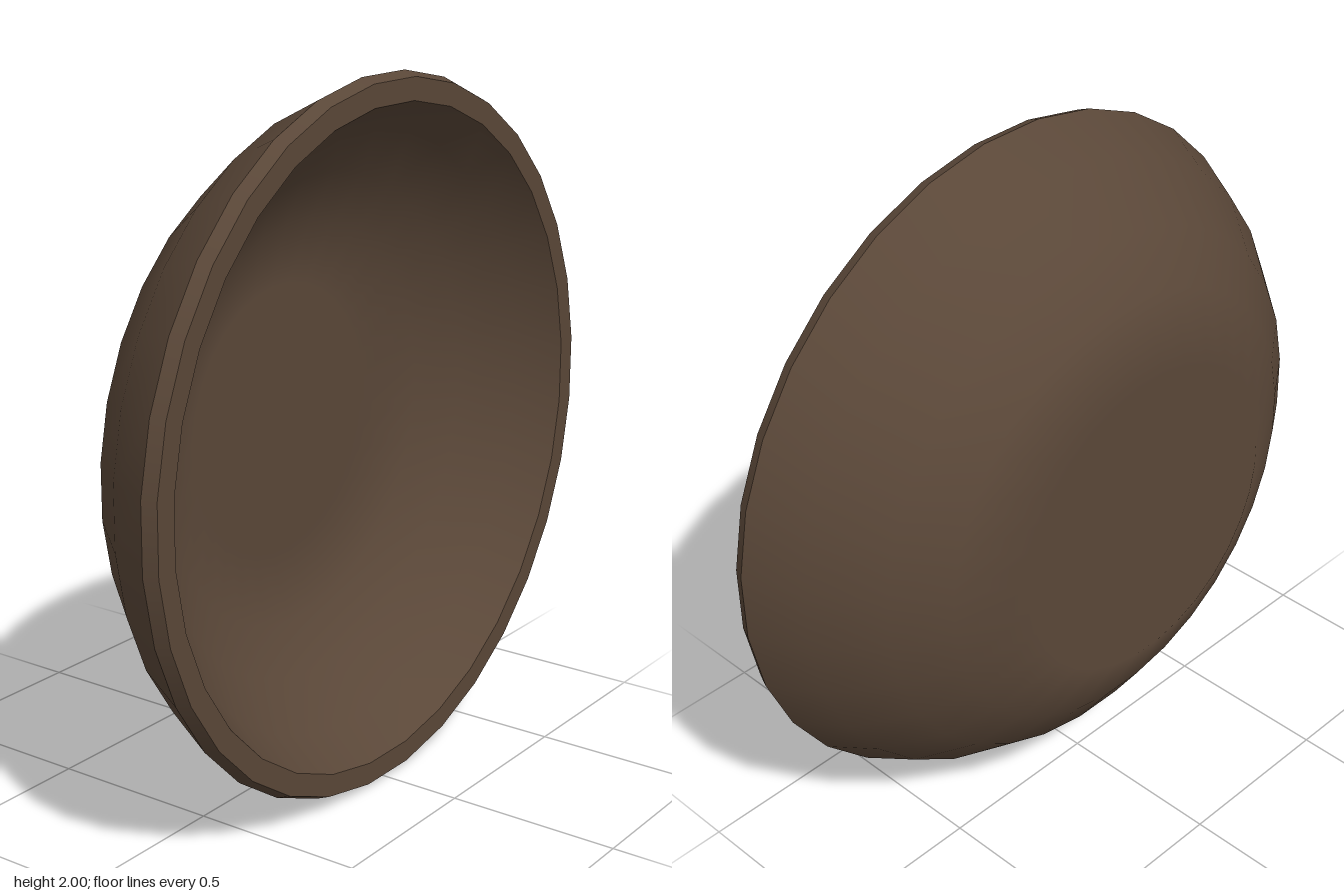
import * as THREE from 'three';

const SIDES = 32;
const wood = new THREE.MeshStandardMaterial({ color: 0x5a4738 });
wood.name = 'darkWood';

// Surface of revolution; profile points are [radius, height along the bowl axis].
// flatRing is the index of a profile point whose normals follow the axis (flatUp = +1 or -1),
// so that a wall blends smoothly into a flat disc.
function band(name, profile, flatRing = -1, flatUp = 0) {
  const pts = profile.map(([r, h]) => new THREE.Vector2(r * 1.005, h));
  const geo = new THREE.LatheGeometry(pts, SIDES, Math.PI / SIDES);
  if (flatRing >= 0) {
    for (let i = 0; i <= SIDES; i++) {
      geo.attributes.normal.setXYZ(i * pts.length + flatRing, 0, flatUp, 0);
    }
  }
  const mesh = new THREE.Mesh(geo, wood);
  mesh.name = name;
  return mesh;
}

export function createModel() {
  const bowl = new THREE.Group();
  bowl.name = 'bowl';

  // Thick-bottomed bowl: separate bands keep the rim edges crisp
  bowl.add(
    band('base', [[0, -0.273], [0.45, -0.273]]),
    band('outerWall', [[0.45, -0.273], [0.645, -0.18], [0.785, -0.083], [0.922, 0.08], [1, 0.235]], 0, -1),
    band('rimEdge', [[1, 0.235], [0.985, 0.273]]),
    band('rimTop', [[0.985, 0.273], [0.922, 0.273]]),
    band('innerWall', [[0.922, 0.273], [0.846, 0.155], [0.715, 0.033], [0.58, -0.038], [0.39, -0.105]], 4, 1),
    band('innerFloor', [[0.39, -0.105], [0, -0.105]]),
  );

  // Stand the bowl on its edge, opening towards +x
  bowl.rotation.z = -Math.PI / 2;
  bowl.position.y = 1;

  const model = new THREE.Group();
  model.name = 'tippedBowl';
  model.add(bowl);
  return model;
}
